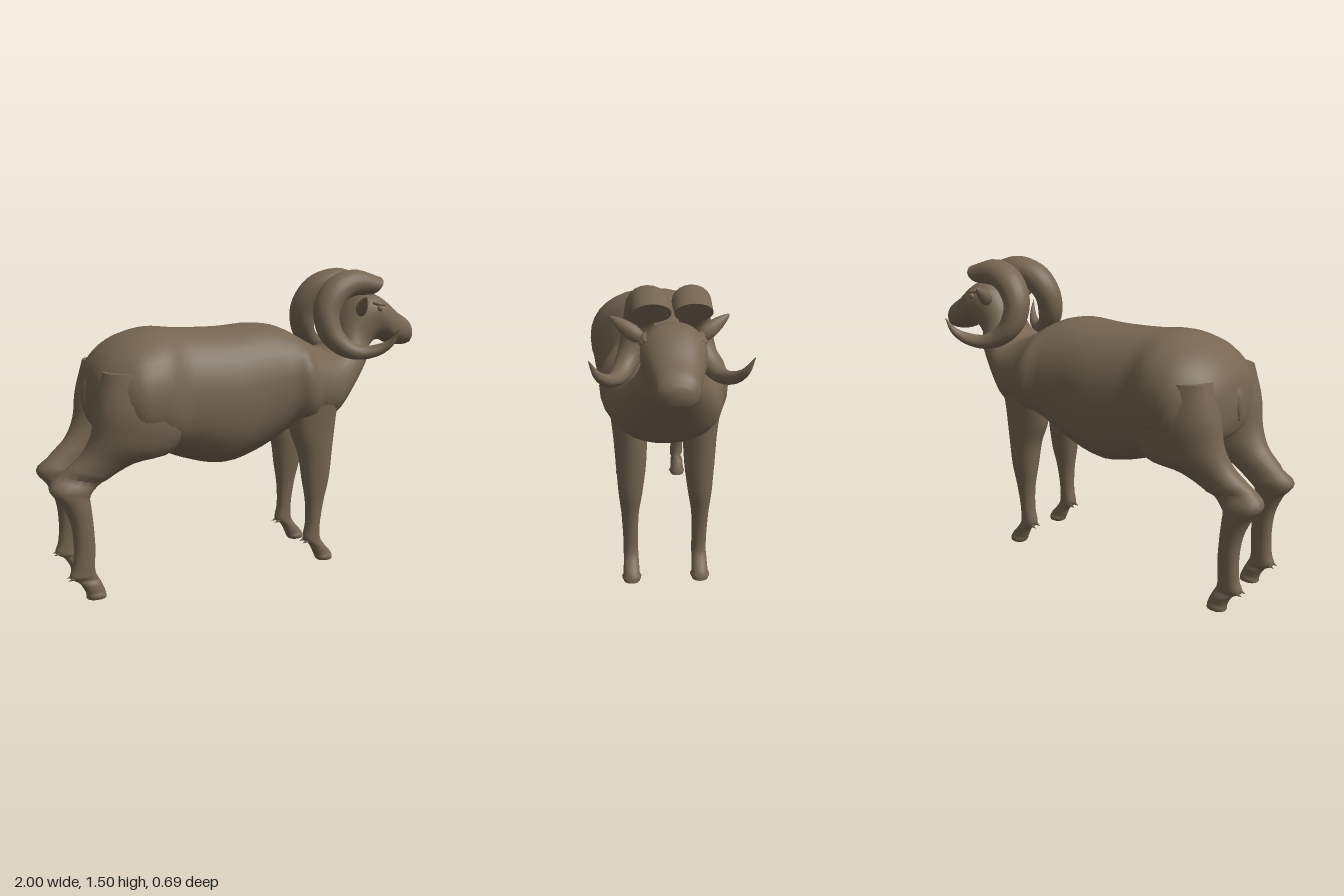
import * as THREE from 'three';
import { toCreasedNormals } from 'three/addons/utils/BufferGeometryUtils.js';

const V = (x, y, z = 0) => new THREE.Vector3(x, y, z);

// Skin through cross-sections [ax, ay, bx, by, halfWidth, z]: each ring spans
// the chord a-b in the xy plane and halfWidth to either side of z.
function loft(sections, { side = 1, sides = 20, steps = 4, power = 0.9 } = {}) {
  const curve = (f) => new THREE.CatmullRomCurve3(sections.map(f));
  const ca = curve((s) => V(s[0], s[1]));
  const cb = curve((s) => V(s[2], s[3]));
  const cw = curve((s) => V(s[4], s[5] ?? 0));
  const rings = (sections.length - 1) * steps;
  const pos = [], idx = [];
  const soft = (v) => Math.sign(v) * Math.abs(v) ** power;
  const tri = (a, b, c) => (side > 0 ? idx.push(a, b, c) : idx.push(a, c, b));
  for (let i = 0; i <= rings; i++) {
    const a = ca.getPoint(i / rings), b = cb.getPoint(i / rings), w = cw.getPoint(i / rings);
    const mid = a.clone().add(b).multiplyScalar(0.5);
    for (let j = 0; j < sides; j++) {
      const t = (j / sides) * Math.PI * 2, c = soft(Math.cos(t));
      pos.push(mid.x + (a.x - mid.x) * c, Math.max(0, mid.y + (a.y - mid.y) * c),
        side * (w.y + w.x * soft(Math.sin(t))));
      if (i === rings) continue;
      const p = i * sides + j, q = i * sides + ((j + 1) % sides);
      tri(p, q, p + sides);
      tri(q, q + sides, p + sides);
    }
  }
  // End caps
  for (const [s, first] of [[sections[0], true], [sections.at(-1), false]]) {
    const centre = pos.length / 3, base = first ? 0 : rings * sides;
    pos.push((s[0] + s[2]) / 2, (s[1] + s[3]) / 2, side * (s[5] ?? 0));
    for (let j = 0; j < sides; j++) {
      const p = base + j, q = base + ((j + 1) % sides);
      first ? tri(centre, q, p) : tri(centre, p, q);
    }
  }
  const geo = new THREE.BufferGeometry();
  geo.setAttribute('position', new THREE.Float32BufferAttribute(pos, 3));
  geo.setIndex(idx);
  return toCreasedNormals(geo, 1);
}

// Rump to muzzle: top point, bottom point, half width
const BODY = [
  [-0.785, 0.98, -0.785, 0.88, 0.05], [-0.76, 1.08, -0.755, 0.8, 0.2],
  [-0.69, 1.165, -0.68, 0.74, 0.29], [-0.58, 1.225, -0.58, 0.68, 0.345],
  [-0.46, 1.25, -0.46, 0.66, 0.335], [-0.32, 1.24, -0.33, 0.605, 0.285],
  [-0.1, 1.235, -0.12, 0.555, 0.29], [0.08, 1.245, 0.08, 0.61, 0.275],
  [0.2, 1.225, 0.22, 0.69, 0.28], [0.29, 1.18, 0.36, 0.72, 0.28],
  [0.38, 1.13, 0.48, 0.745, 0.26], [0.46, 1.1, 0.6, 0.88, 0.215],
  [0.52, 1.13, 0.71, 1.04, 0.16], [0.575, 1.26, 0.73, 1.09, 0.125],
  [0.66, 1.36, 0.76, 1.12, 0.13], [0.74, 1.375, 0.82, 1.125, 0.138],
  [0.81, 1.345, 0.87, 1.1, 0.122], [0.9, 1.275, 0.93, 1.09, 0.1],
  [0.97, 1.23, 0.98, 1.095, 0.085], [1.0, 1.19, 0.997, 1.12, 0.05],
];

// Legs run downwards: front point, back point, half width, z
const FRONT_LEG = [
  [0.48, 0.95, 0.2, 0.95, 0.085, 0.185], [0.465, 0.76, 0.22, 0.71, 0.08, 0.165],
  [0.45, 0.6, 0.27, 0.58, 0.072, 0.163], [0.435, 0.45, 0.29, 0.45, 0.058, 0.167],
  [0.41, 0.34, 0.31, 0.32, 0.042, 0.17], [0.39, 0.2, 0.312, 0.2, 0.036, 0.169],
  [0.395, 0.12, 0.3, 0.12, 0.036, 0.168], [0.42, 0.08, 0.335, 0.09, 0.037, 0.168],
  [0.46, 0.03, 0.37, 0.02, 0.04, 0.168], [0.465, 0, 0.38, 0, 0.04, 0.168],
];
const HIND_LEG = [
  [-0.42, 1.08, -0.74, 1.08, 0.1, 0.2], [-0.36, 0.82, -0.785, 0.92, 0.13, 0.2],
  [-0.42, 0.69, -0.805, 0.79, 0.115, 0.19], [-0.6, 0.645, -0.85, 0.7, 0.085, 0.172],
  [-0.73, 0.575, -0.92, 0.635, 0.07, 0.16], [-0.81, 0.51, -1, 0.555, 0.07, 0.16],
  [-0.81, 0.45, -0.95, 0.48, 0.065, 0.16], [-0.805, 0.38, -0.91, 0.38, 0.052, 0.165],
  [-0.8, 0.25, -0.9, 0.25, 0.04, 0.169], [-0.805, 0.16, -0.91, 0.16, 0.037, 0.169],
  [-0.8, 0.12, -0.925, 0.115, 0.037, 0.168], [-0.78, 0.08, -0.88, 0.08, 0.037, 0.168],
  [-0.76, 0.03, -0.85, 0.02, 0.04, 0.168], [-0.755, 0, -0.85, 0, 0.04, 0.168],
];

// Horn curls back, down and outwards: inner point, outer point, half width, z
const HORN = [
  [0.7, 1.37, 0.755, 1.46, 0.08, 0.085], [0.6, 1.365, 0.6, 1.5, 0.083, 0.088],
  [0.54, 1.34, 0.45, 1.45, 0.08, 0.105], [0.495, 1.28, 0.365, 1.32, 0.07, 0.125],
  [0.5, 1.21, 0.38, 1.18, 0.065, 0.15], [0.53, 1.16, 0.46, 1.09, 0.055, 0.185],
  [0.585, 1.13, 0.56, 1.06, 0.045, 0.225], [0.65, 1.14, 0.66, 1.085, 0.034, 0.27],
  [0.69, 1.165, 0.71, 1.14, 0.02, 0.31], [0.72, 1.22, 0.722, 1.22, 0.002, 0.345],
];

const TAIL = [
  [-0.74, 1.07, -0.7, 1.03, 0.03], [-0.785, 1.01, -0.74, 0.98, 0.035],
  [-0.797, 0.93, -0.76, 0.92, 0.025], [-0.79, 0.87, -0.775, 0.87, 0.005],
];

export function createModel() {
  const model = new THREE.Group();
  model.name = 'ram';
  const brown = new THREE.MeshStandardMaterial({ color: 0x766652 });
  brown.name = 'brown';
  const add = (name, geo) => {
    const mesh = new THREE.Mesh(geo, brown);
    mesh.name = name;
    model.add(mesh);
    return mesh;
  };

  add('body', loft(BODY, { sides: 32 }));
  add('tail', loft(TAIL.map(([a, b, c, d, w]) => [c, d, a, b, w]), { sides: 10 }));

  for (const side of [1, -1]) {
    const label = side > 0 ? 'left' : 'right';
    add(`${label}FrontLeg`, loft(FRONT_LEG, { side }));
    add(`${label}HindLeg`, loft(HIND_LEG, { side }));
    add(`${label}Horn`, loft(HORN, { side, power: 1, steps: 5 }));

    // Leaf-shaped ear pointing out and up
    const leaf = new THREE.SphereGeometry(1, 14, 10);
    const p = leaf.attributes.position;
    for (let i = 0; i < p.count; i++) {
      const taper = 1 - 0.45 * p.getY(i);
      p.setXYZ(i, p.getX(i) * taper * 0.024, p.getY(i) * 0.085, p.getZ(i) * taper * 0.032);
    }
    leaf.computeVertexNormals();
    const ear = add(`${label}Ear`, leaf);
    ear.position.set(0.605, 1.325, side * 0.185);
    ear.quaternion.setFromUnitVectors(V(0, 1, 0), V(-0.25, 0.55, side * 0.8).normalize());

    // Eye with a heavy brow
    const eye = add(`${label}Eye`, new THREE.SphereGeometry(0.018, 12, 8));
    eye.position.set(0.745, 1.3, side * 0.122);
    const brow = add(`${label}Brow`, new THREE.SphereGeometry(1, 12, 8));
    brow.scale.set(0.04, 0.012, 0.02);
    brow.position.set(0.745, 1.322, side * 0.112);
    brow.rotation.z = -0.2;

    // Paired dewclaws behind each fetlock
    for (const [leg, x] of [['Front', 0.307], ['Hind', -0.915]]) {
      for (const dz of [-0.018, 0.018]) {
        const claw = add(`${label}${leg}Dewclaw`, new THREE.ConeGeometry(0.014, 0.045, 8));
        claw.position.set(x, 0.113, side * (0.168 + dz));
        claw.rotation.z = 1.9;
      }
    }
  }
  return model;
}
